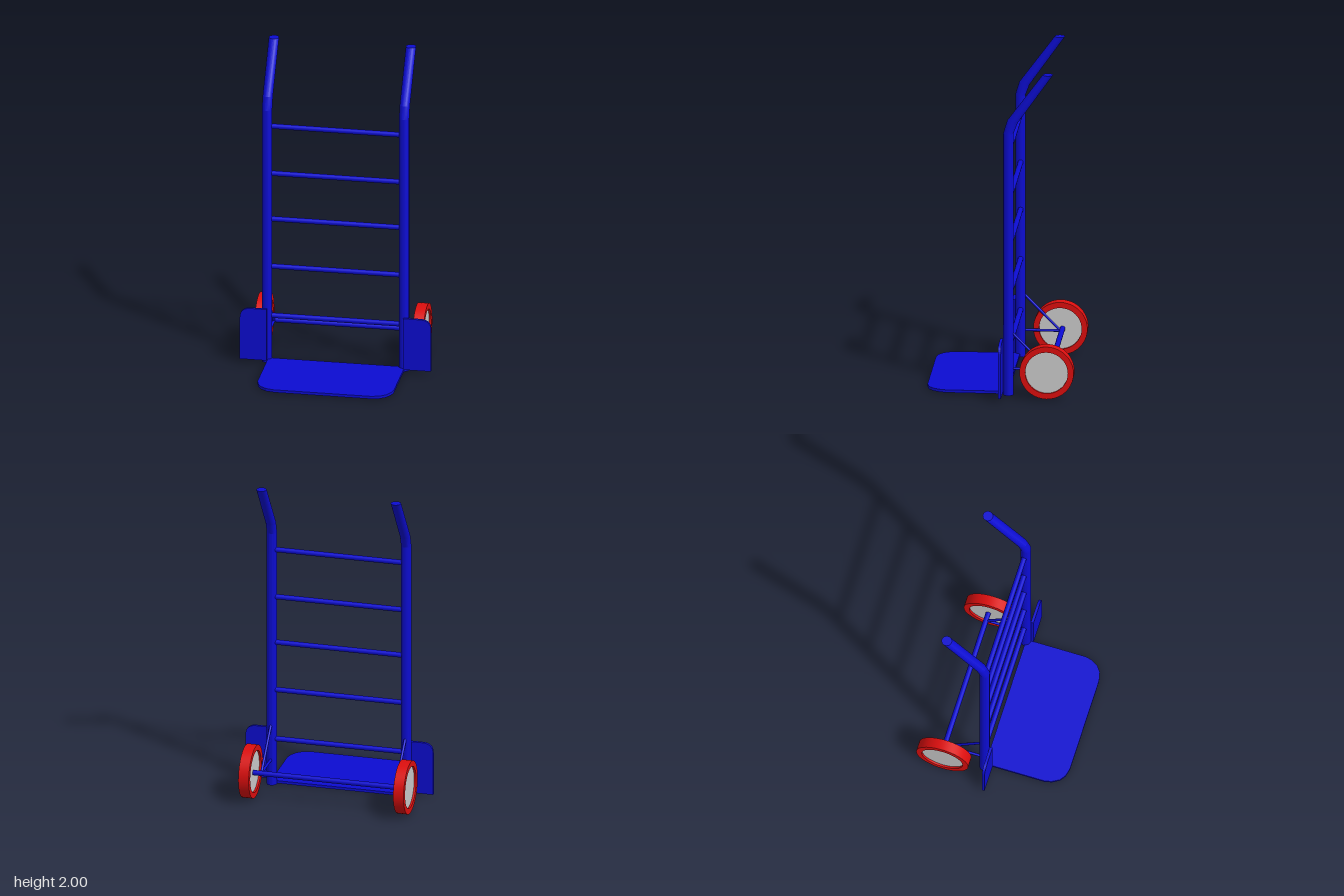
import * as THREE from 'three';
import { toCreasedNormals } from 'three/addons/utils/BufferGeometryUtils.js';

const blue = new THREE.MeshStandardMaterial({ color: 0x0c0cd2 });
const red = new THREE.MeshStandardMaterial({ color: 0xdc0e0e });
const grey = new THREE.MeshStandardMaterial({ color: 0xcccccc });

const RAIL_Z = -0.046;
const AXLE = { y: 0.168, z: -0.287 };

function add(parent, name, geometry, material) {
  const mesh = new THREE.Mesh(geometry, material);
  mesh.name = name;
  parent.add(mesh);
  return mesh;
}

// Round bar between two points
function addBar(parent, name, a, b, radius) {
  const dir = b.clone().sub(a);
  const bar = add(parent, name, new THREE.CylinderGeometry(radius, radius, dir.length(), 20), blue);
  bar.position.copy(a).add(b).multiplyScalar(0.5);
  bar.quaternion.setFromUnitVectors(new THREE.Vector3(0, 1, 0), dir.normalize());
  return bar;
}

// Upright with a bent-back handle: each ring of a cylinder moves to a station
function railGeometry() {
  const stations = [ // y, z, tilt
    [0, RAIL_Z, 0],
    [1.63, RAIL_Z, 0],
    [1.702, -0.07, 0.25],
    [2, -0.284, 0],
  ];
  const geo = new THREE.CylinderGeometry(0.031, 0.031, 1, 24, 3);
  const p = geo.attributes.position;
  for (let i = 0; i < p.count; i++) {
    const [y, z, tilt] = stations[Math.round((p.getY(i) + 0.5) * 3)];
    p.setY(i, y + tilt * p.getZ(i));
    p.setZ(i, z + p.getZ(i));
  }
  return toCreasedNormals(geo, 0.28);
}

// Wheel: square-section tyre around a recessed disc, axis along x
function makeWheel(name) {
  const wheel = new THREE.Group();
  wheel.name = name;
  const R = 0.163, r = 0.128, h = 0.0325;
  const section = [[r, -h], [R, -h], [R, h], [r, h], [r, -h]].map(([x, y]) => new THREE.Vector2(x, y));
  const tyre = toCreasedNormals(new THREE.LatheGeometry(section, 40), 0.5);
  add(wheel, 'tyre', tyre, red).rotation.z = Math.PI / 2;
  add(wheel, 'wheelDisc', new THREE.CylinderGeometry(r, r, 0.04, 40), grey).rotation.z = Math.PI / 2;
  return wheel;
}

export function createModel() {
  const model = new THREE.Group();
  model.name = 'handTruck';
  const V = (x, y, z) => new THREE.Vector3(x, y, z);
  const rail = railGeometry();

  for (const side of [-1, 1]) {
    const label = side > 0 ? 'left' : 'right';
    const x = side > 0 ? 0.41 : -0.424;
    add(model, label + 'Rail', rail, blue).position.x = x;

    // Struts carrying the axle
    const hub = V(x, AXLE.y - 0.005, AXLE.z);
    addBar(model, label + 'UpperStrut', V(x, 0.4, RAIL_Z - 0.01), hub, 0.008);
    addBar(model, label + 'LowerStrut', V(x, 0.163, RAIL_Z), hub, 0.008);

    const wheel = makeWheel(label + 'Wheel');
    wheel.position.set(side > 0 ? 0.478 : -0.483, AXLE.y, AXLE.z + 0.003);
    model.add(wheel);

    // Guard plate with a rounded outer top corner
    const inner = side > 0 ? 0.412 : -0.42, outer = side * 0.582, c = 0.065;
    const guard = new THREE.Shape();
    guard.moveTo(inner, 0.02);
    guard.lineTo(outer, 0.02);
    guard.lineTo(outer, 0.35 - c);
    guard.quadraticCurveTo(outer, 0.35, outer - side * c, 0.35);
    guard.lineTo(inner, 0.35);
    const plate = new THREE.ExtrudeGeometry(guard, { depth: 0.017, bevelEnabled: false, curveSegments: 8 });
    add(model, label + 'GuardPlate', plate, blue).position.z = -0.015;
  }

  // Rungs and axle
  for (const y of [1.52, 1.215, 0.92, 0.613, 0.295]) {
    addBar(model, 'rung', V(-0.424, y, -0.049), V(0.41, y, -0.049), 0.016);
  }
  addBar(model, 'axle', V(-0.475, 0.165, -0.296), V(0.47, 0.165, -0.296), 0.016);

  // Toe plate, outlined in x and z with faceted front corners
  const corner = [[0.415, 0.33], [0.405, 0.37], [0.381, 0.412], [0.345, 0.438], [0.293, 0.45]];
  const outline = [
    [0.415, -0.045],
    ...corner,
    ...corner.map(([x, z]) => [-x, z]).reverse(),
    [-0.415, -0.045],
  ].map(([x, z]) => new THREE.Vector2(x, -z));
  const toe = new THREE.ExtrudeGeometry(new THREE.Shape(outline), { depth: 0.017, bevelEnabled: false });
  toe.rotateX(-Math.PI / 2);
  add(model, 'toePlate', toe, blue).position.y = 0.004;

  return model;
}
